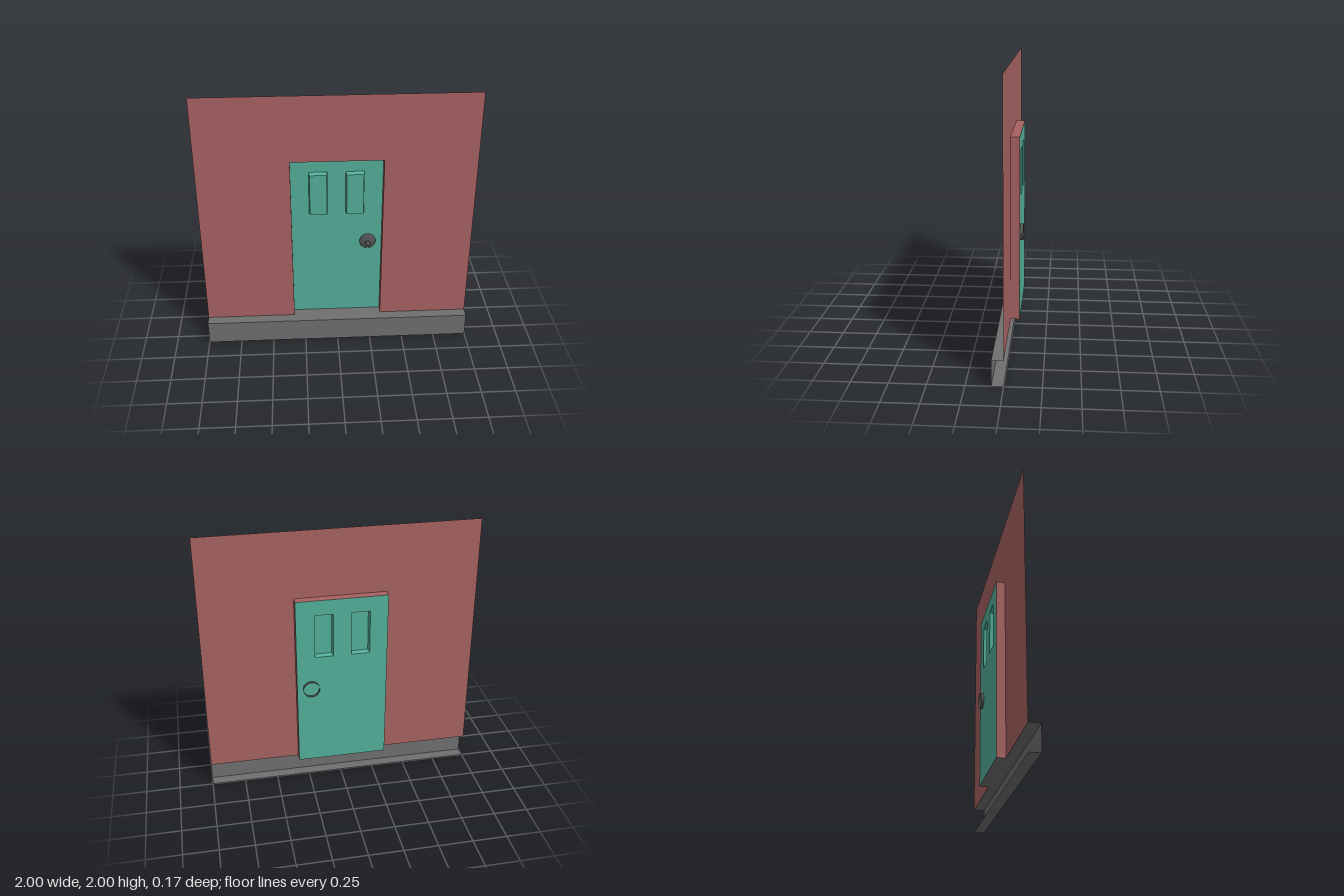
import * as THREE from 'three';

const WALL_Z = 0, DOOR_Z = -0.064, STEP_Z = 0.08, STEP_Y = 0.18;
const DOOR_W = 0.333, DOOR_TOP = 1.505;

const paint = (color) => new THREE.MeshStandardMaterial({ color, side: THREE.DoubleSide });

function addMesh(parent, name, geometry, material) {
  const mesh = new THREE.Mesh(geometry, material);
  mesh.name = name;
  parent.add(mesh);
  return mesh;
}

// Closed rectangle as a list of points
const rect = (x0, x1, y0, y1) => [[x0, y0], [x1, y0], [x1, y1], [x0, y1]].map(p => new THREE.Vector2(...p));

// Flat sheet with optional rectangular holes
function sheet(outline, holes, z) {
  const shape = new THREE.Shape(outline);
  holes.forEach(h => shape.holes.push(new THREE.Path(h)));
  return new THREE.ShapeGeometry(shape).translate(0, 0, z);
}

// Separate flat quads, each given by four corners counter-clockwise
function quads(list) {
  const positions = list.flatMap(([a, b, c, d]) => [a, b, c, a, c, d].flat());
  const geometry = new THREE.BufferGeometry();
  geometry.setAttribute('position', new THREE.Float32BufferAttribute(positions, 3));
  geometry.computeVertexNormals();
  return geometry;
}

// Strip swept along x through a (y, z) profile
function stripX(x0, x1, profile) {
  return quads(profile.slice(1).map(([y, z], i) => {
    const [py, pz] = profile[i];
    return [[x0, y, z], [x1, y, z], [x1, py, pz], [x0, py, pz]];
  }));
}

// Hollow raised panel: tapered sides and a front face, open at the back
function raisedPanel(x0, x1, y0, y1, zBack, zFront, inset) {
  const back = rect(x0, x1, y0, y1).map(p => [p.x, p.y, zBack]);
  const front = rect(x0 + inset, x1 - inset, y0 + inset, y1 - inset).map(p => [p.x, p.y, zFront]);
  const sides = back.map((b, i) => {
    const j = (i + 1) % 4;
    return [b, back[j], front[j], front[i]];
  });
  return quads([...sides, front]);
}

export function createModel() {
  const group = new THREE.Group();
  const red = paint(0xa86262), teal = paint(0x54b09b);
  const grey = paint(0x707070), dark = paint(0x555555);

  // Wall sheet notched around the doorway
  const wallOutline = [[-1, STEP_Y], [-DOOR_W, STEP_Y], [-DOOR_W, DOOR_TOP], [DOOR_W, DOOR_TOP],
    [DOOR_W, STEP_Y], [1, STEP_Y], [1, 2], [-1, 2]].map(p => new THREE.Vector2(...p));
  addMesh(group, 'wall', sheet(wallOutline, [], WALL_Z), red);

  // Sides and top of the door recess
  const w = DOOR_W, t = DOOR_TOP, s = STEP_Y, f = WALL_Z, d = DOOR_Z;
  addMesh(group, 'doorReveal', quads([
    [[-w, s, d], [-w, s, f], [-w, t, f], [-w, t, d]],
    [[w, s, f], [w, s, d], [w, t, d], [w, t, f]],
    [[-w, t, f], [w, t, f], [w, t, d], [-w, t, d]],
  ]), red);

  // Step: a channel open at the back and ends, with a sill running into the recess
  addMesh(group, 'step', stripX(-1, 1, [[0, WALL_Z], [0, STEP_Z], [s, STEP_Z], [s, WALL_Z]].reverse()
    .reverse()), grey);
  addMesh(group, 'doorSill', stripX(-w, w, [[s, f], [s, d]]), grey);

  // Door with two openings, each filled by a hollow panel pushed forward
  const door = new THREE.Group();
  door.name = 'door';
  group.add(door);
  const panels = [[-0.203, -0.068], [0.064, 0.199]];
  const py0 = 1.06, py1 = 1.392;
  addMesh(door, 'doorLeaf', sheet(rect(-w, w, s, t), panels.map(([a, b]) => rect(a, b, py0, py1)), d), teal);
  panels.forEach(([a, b], i) => {
    addMesh(door, i ? 'leftPanel' : 'rightPanel', raisedPanel(a, b, py0, py1, d, -0.022, 0.006), teal);
  });

  // Door knob: round plate, neck and knob in one turned profile, open at the back
  const profile = [[0.06, -0.086], [0.06, -0.058], [0.053, -0.053], [0.03, -0.049], [0.013, -0.047],
    [0.012, -0.036], [0.018, -0.032], [0.021, -0.026], [0.018, -0.019], [0.01, -0.015], [0, -0.014]];
  const knob = addMesh(door, 'doorKnob',
    new THREE.LatheGeometry(profile.map(p => new THREE.Vector2(...p)), 32), dark);
  knob.rotation.x = Math.PI / 2;
  knob.position.set(0.23, 0.805, 0);

  return group;
}
